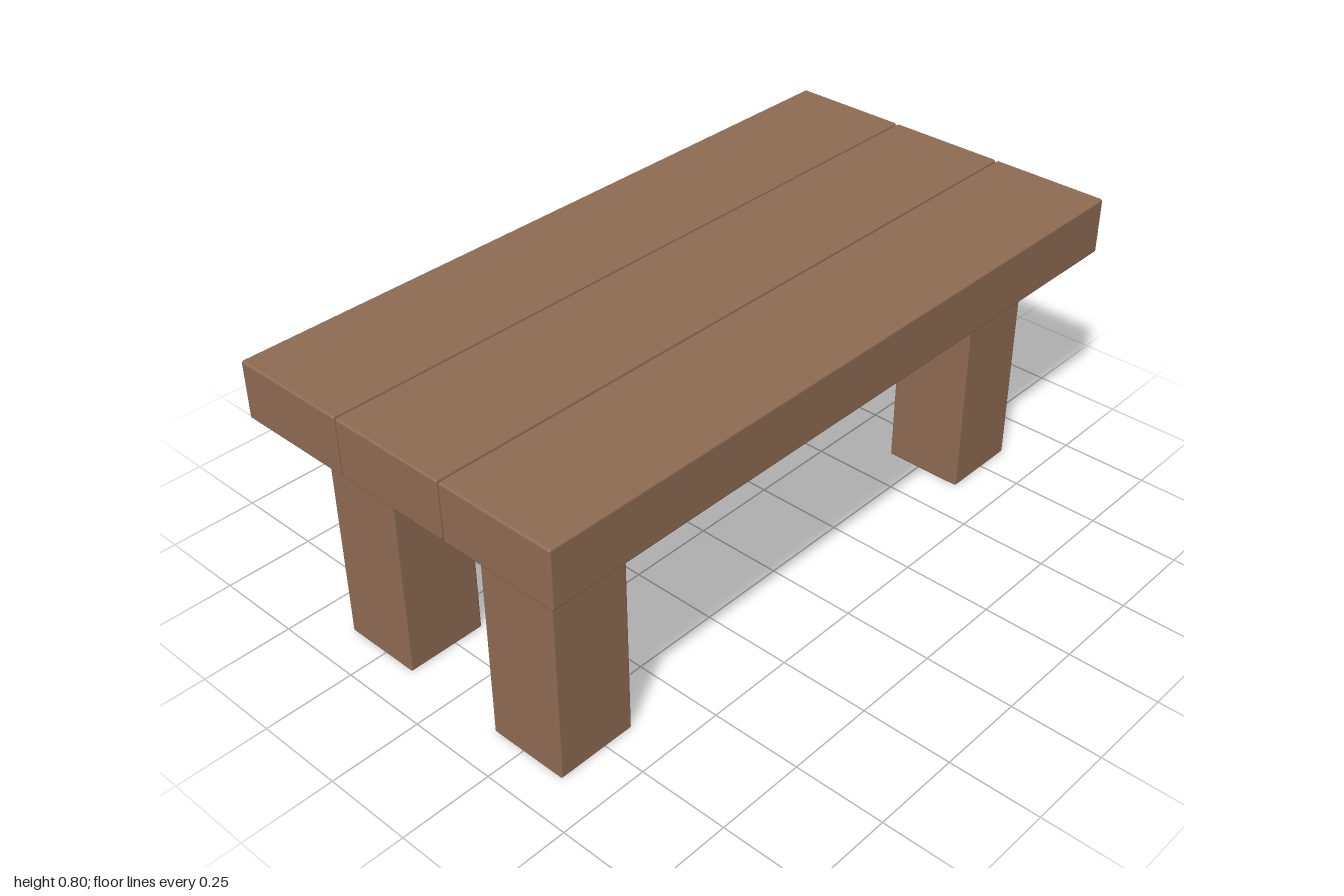
import * as THREE from 'three';
import { RoundedBoxGeometry } from 'three/addons/geometries/RoundedBoxGeometry.js';

export function createModel() {
  const group = new THREE.Group();
  const wood = new THREE.MeshStandardMaterial({ color: 0x8f6b54 });

  // Timber block with slightly eased edges
  function timber(name, size, position) {
    const mesh = new THREE.Mesh(new RoundedBoxGeometry(...size, 2, 0.006), wood);
    mesh.name = name;
    mesh.position.set(...position);
    group.add(mesh);
  }

  // Three planks side by side form the top, with narrow gaps
  const planks = { frontPlank: 0.341, middlePlank: 0, backPlank: -0.341 };
  for (const [name, z] of Object.entries(planks)) {
    timber(name, [2, 0.158, 0.336], [0, 0.721, z]);
  }

  // Four square legs, set slightly towards the right end
  for (const [side, x] of [['Left', 0.738], ['Right', -0.778]]) {
    for (const [end, z] of [['front', 0.267], ['back', -0.262]]) {
      timber(`${end}${side}Leg`, [0.228, 0.648, 0.228], [x, 0.324, z]);
    }
  }

  return group;
}
